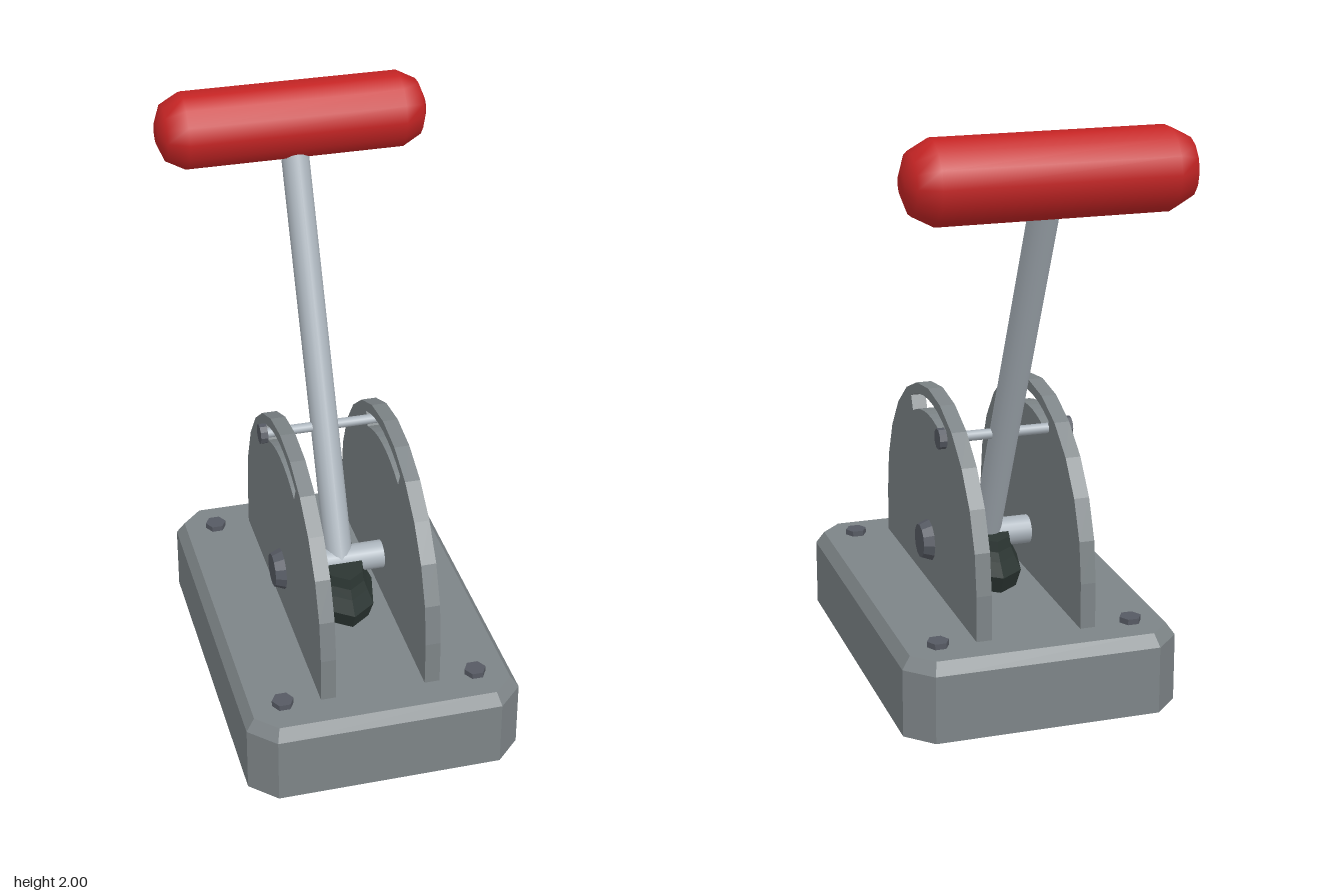
import * as THREE from 'three';
import { toCreasedNormals } from 'three/addons/utils/BufferGeometryUtils.js';

const material = (name, color) => {
  const m = new THREE.MeshStandardMaterial({ color });
  m.name = name;
  return m;
};

// Shared centre of the base, plates and pivot
const CZ = 0.053;
const PIVOT_Y = 0.44;
const BASE_TOP = 0.28;

// Rectangle with cut corners, inset evenly by d
function octagon(w, l, cut, d) {
  const a = w - d, b = l - d, c = cut - d * (2 - Math.SQRT2);
  return [[a - c, b], [a, b - c], [a, c - b], [a - c, -b], [c - a, -b], [-a, c - b], [-a, b - c], [c - a, b]];
}

// Flat-shaded solid through stacked loops, closed at both ends
function stack(levels) {
  const pos = [];
  const n = levels[0].loop.length;
  const put = (k, i) => pos.push(levels[k].loop[i % n][0], levels[k].y, levels[k].loop[i % n][1]);
  const last = levels.length - 1;
  for (let i = 0; i < n; i++) {
    for (let k = 0; k < last; k++) {
      put(k, i); put(k, i + 1); put(k + 1, i + 1);
      put(k, i); put(k + 1, i + 1); put(k + 1, i);
    }
    pos.push(0, levels[last].y, 0);
    put(last, i); put(last, i + 1);
    pos.push(0, levels[0].y, 0);
    put(0, i + 1); put(0, i);
  }
  const g = new THREE.BufferGeometry();
  g.setAttribute('position', new THREE.Float32BufferAttribute(pos, 3));
  g.computeVertexNormals();
  return g;
}

// Side plate outline: straight legs, faceted arch and a curved slot
function plateGeometry(thickness) {
  const R = 0.558;
  const arc = (r, from, to, n) => Array.from({ length: n + 1 }, (_, i) => {
    const t = from + (to - from) * i / n;
    return new THREE.Vector2(r * Math.cos(t), PIVOT_Y + r * Math.sin(t));
  });
  const shape = new THREE.Shape([
    new THREE.Vector2(-R, BASE_TOP - 0.01), new THREE.Vector2(R, BASE_TOP - 0.01),
    ...arc(R, 0, Math.PI, 12),
  ]);
  const a = THREE.MathUtils.degToRad(65), b = Math.PI - a;
  shape.holes.push(new THREE.Path([...arc(0.519, a, b, 8), ...arc(0.464, b, a, 8)]));
  const g = new THREE.ExtrudeGeometry(shape, { depth: thickness, bevelEnabled: false });
  g.translate(0, 0, -thickness / 2);
  g.rotateY(Math.PI / 2);
  return g;
}

export function createModel() {
  const group = new THREE.Group();
  group.name = 'throttleLever';
  const housing = material('housingGrey', 0x7d8487);
  const steel = material('lightSteel', 0xabb4bc);
  const bolt = material('darkBolt', 0x565a63);
  const rubber = material('blackRubber', 0x2c3633);
  const red = material('gripRed', 0xc42424);

  const add = (name, geometry, mat, x = 0, y = 0, z = 0) => {
    const mesh = new THREE.Mesh(geometry, mat);
    mesh.name = name;
    mesh.position.set(x, y, z);
    group.add(mesh);
    return mesh;
  };

  // Chamfered base
  const loop = (d) => octagon(0.48, 0.697, 0.088, d);
  add('base', stack([
    { y: 0, loop: loop(0) }, { y: 0.238, loop: loop(0) }, { y: BASE_TOP, loop: loop(0.029) },
  ]), housing, 0, 0, CZ);

  // Hexagonal corner screws
  const screw = new THREE.CylinderGeometry(0.038, 0.038, 0.03, 6).rotateY(Math.PI / 6);
  const screwGeometry = toCreasedNormals(screw, 0.5);
  for (const x of [-0.34, 0.34]) {
    for (const z of [-0.547, 0.547]) add('baseScrew', screwGeometry, bolt, x, 0.285, CZ + z);
  }

  // Slotted side plates
  const plate = plateGeometry(0.053);
  for (const s of [-1, 1]) add(s > 0 ? 'leftPlate' : 'rightPlate', plate, housing, s * 0.183, 0, CZ);

  // Pivot axle and the guide pin that runs in the slots
  const handleY = 1.865, handleZ = -0.613;
  const tilt = Math.atan2(handleZ - CZ, handleY - PIVOT_Y);
  const pinY = PIVOT_Y + 0.489 * Math.cos(tilt);
  const pinZ = CZ + 0.489 * Math.sin(tilt);
  const rod = (r, length, sides) => new THREE.CylinderGeometry(r, r, length, sides).rotateZ(Math.PI / 2);
  add('pivotAxle', rod(0.051, 0.4, 16), steel, 0, PIVOT_Y, CZ);
  add('guidePin', rod(0.018, 0.43, 10), steel, 0, pinY, pinZ);
  for (const s of [-1, 1]) {
    const cap = new THREE.CylinderGeometry(0.06, 0.075, 0.038, 12).rotateZ(-s * Math.PI / 2);
    add('pivotCap', toCreasedNormals(cap, 0.4), bolt, s * 0.227, PIVOT_Y, CZ);
    const head = new THREE.CylinderGeometry(0.036, 0.036, 0.026, 10).rotateZ(-s * Math.PI / 2);
    add('guidePinHead', toCreasedNormals(head, 0.4), bolt, s * 0.225, pinY, pinZ);
  }

  // Lever shaft, leaning back from the pivot to the grip
  const length = Math.hypot(handleY - PIVOT_Y, handleZ - CZ);
  const shaft = new THREE.CylinderGeometry(0.05, 0.05, length, 16).translate(0, length / 2, 0);
  add('leverShaft', shaft, steel, 0, PIVOT_Y, CZ).rotation.x = tilt;

  // Rubber boot, stretched front to back
  const bootProfile = [[0.1, 0.27], [0.119, 0.345], [0.098, 0.39], [0.086, 0.42], [0.081, 0.457], [0, 0.457]];
  const boot = new THREE.LatheGeometry(bootProfile.map(([r, y]) => new THREE.Vector2(r, y)), 8);
  boot.scale(1, 1, 1.8);
  const facetedBoot = boot.toNonIndexed();
  facetedBoot.computeVertexNormals();
  add('boot', facetedBoot, rubber, 0, 0, CZ + 0.008);

  // Rounded cross grip
  const half = [[0.137, 0.385], [0.1, 0.455], [0.04, 0.48], [0, 0.48]];
  const gripProfile = [...half.map(([r, y]) => [r, -y]).reverse(), ...half];
  const grip = new THREE.LatheGeometry(gripProfile.map(([r, y]) => new THREE.Vector2(r, y)), 14);
  add('grip', grip.rotateZ(Math.PI / 2), red, 0, handleY - 0.002, handleZ);

  return group;
}
